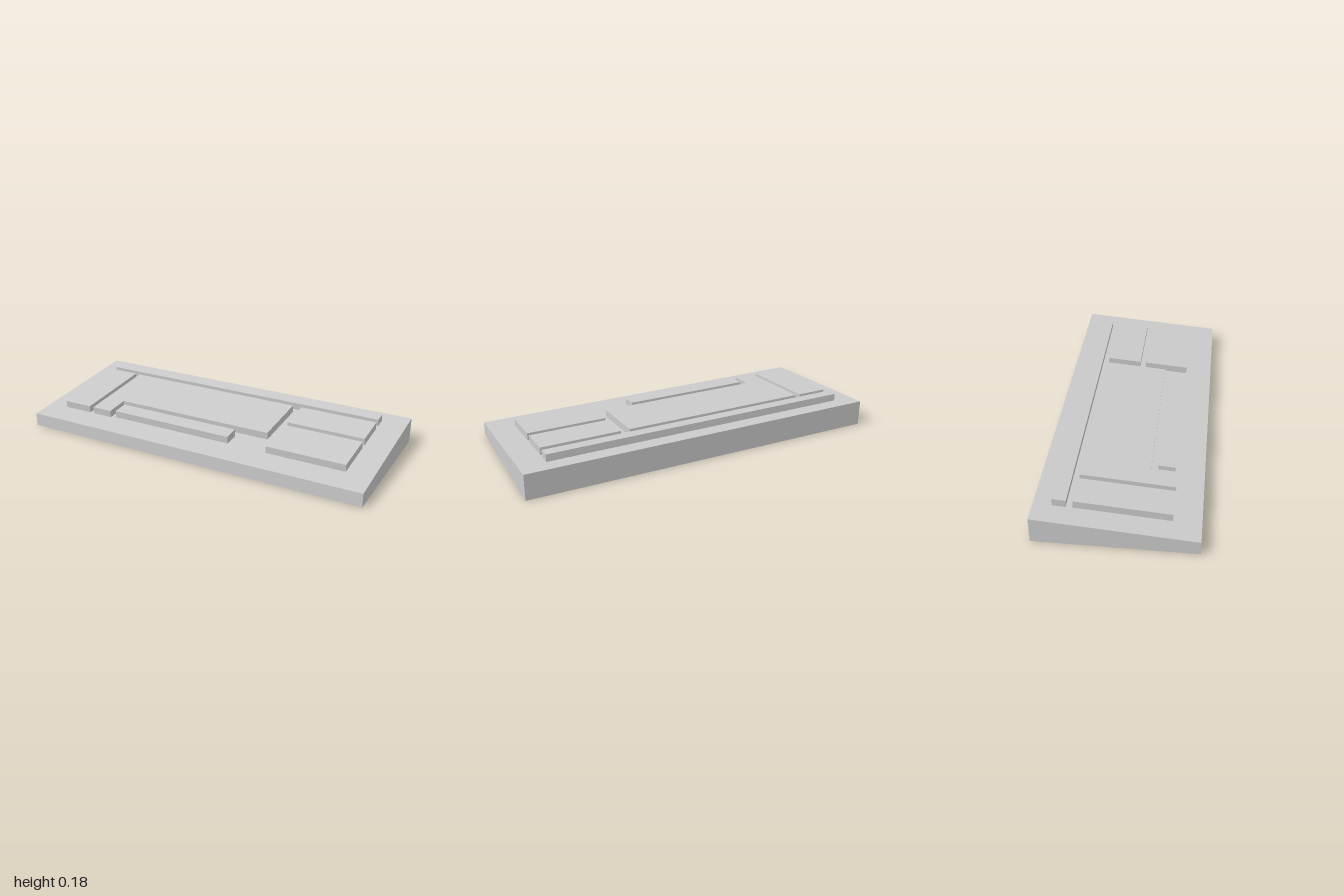
import * as THREE from 'three';

const FRONT_H = 0.075, BACK_H = 0.143, HALF_D = 0.41, KEY_H = 0.04;
const material = new THREE.MeshStandardMaterial({ color: 0xcccccc, flatShading: true });

function extrude(name, points, depth) {
  const shape = new THREE.Shape(points.map(([x, y]) => new THREE.Vector2(x, y)));
  const geometry = new THREE.ExtrudeGeometry(shape, { depth, bevelEnabled: false });
  const mesh = new THREE.Mesh(geometry, material);
  mesh.name = name;
  return mesh;
}

// Raised plate on the deck, outlined by [x, z] corners
function plate(name, outline) {
  const mesh = extrude(name, outline.map(([x, z]) => [x, -z]), KEY_H);
  mesh.geometry.rotateX(-Math.PI / 2);
  return mesh;
}

const rect = (x0, x1, z0, z1) => [[x0, z1], [x1, z1], [x1, z0], [x0, z0]];

export function createModel() {
  const model = new THREE.Group();
  model.name = 'keyboard';

  // Wedge body: side profile swept across the width
  const body = extrude('wedgeBody', [
    [-HALF_D, 0], [HALF_D, 0], [HALF_D, BACK_H], [-HALF_D, FRONT_H],
  ], 2);
  body.geometry.translate(0, 0, -1).rotateY(Math.PI / 2);
  model.add(body);

  // Key blocks, laid out flat and then tilted with the deck
  const keys = new THREE.Group();
  keys.name = 'keyBlocks';
  keys.position.y = (FRONT_H + BACK_H) / 2;
  keys.rotation.x = Math.atan2(BACK_H - FRONT_H, 2 * HALF_D);
  keys.add(
    plate('functionKeyRow', rect(-0.885, 0.858, -0.319, -0.251)),
    plate('leftKeyBlock', rect(-0.882, -0.711, -0.219, 0.269)),
    plate('mainKeyBlock', [
      [-0.684, 0.269], [-0.565, 0.269], [-0.565, 0.131],
      [0.366, 0.131], [0.366, -0.217], [-0.684, -0.217],
    ]),
    plate('spaceBar', rect(-0.536, 0.19, 0.168, 0.257)),
    plate('rightRearKeyBlock', rect(0.416, 0.858, -0.217, -0.022)),
    plate('rightFrontKeyBlock', rect(0.416, 0.858, 0.011, 0.262)),
  );
  model.add(keys);
  return model;
}
